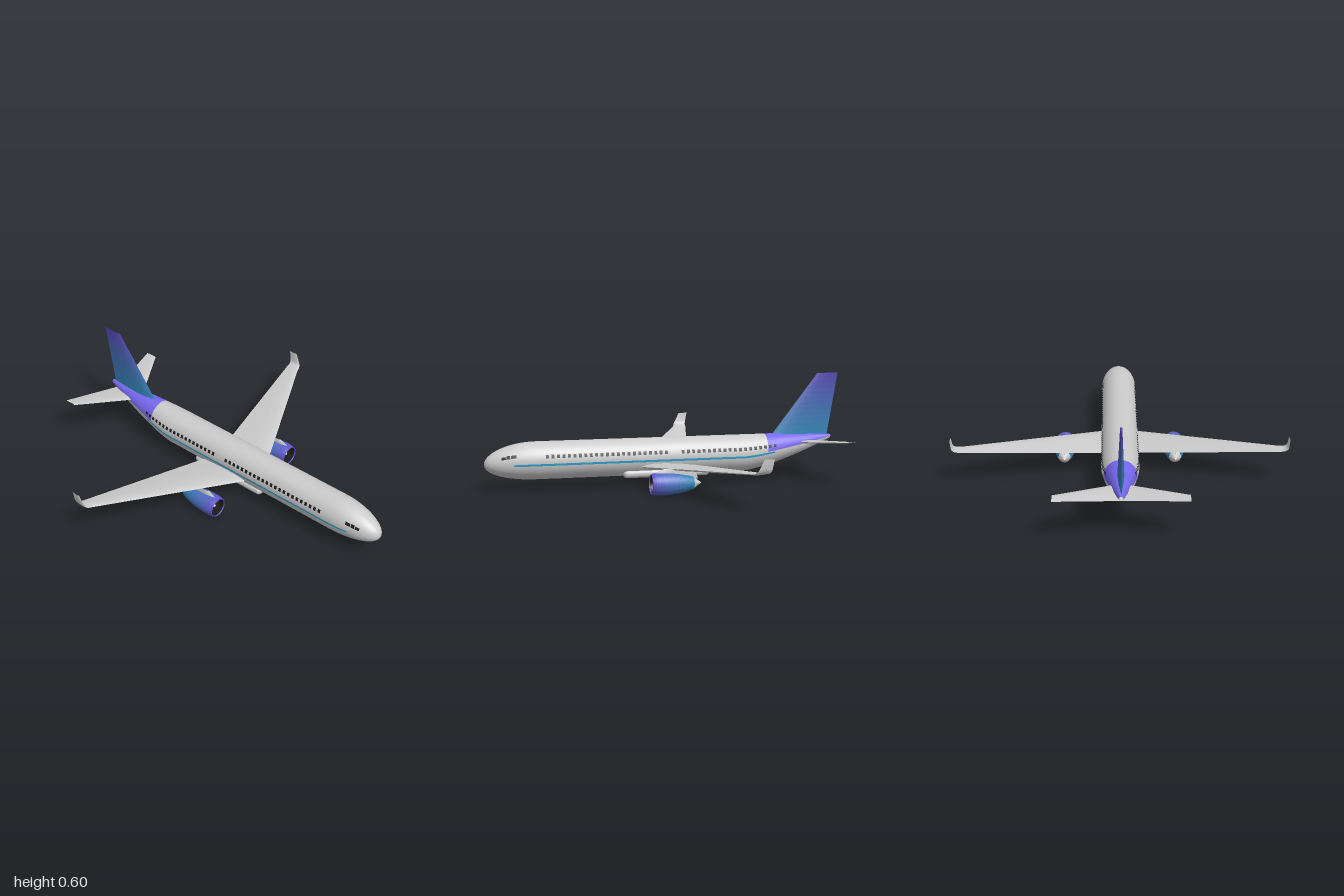
import * as THREE from 'three';
import { toCreasedNormals } from 'three/addons/utils/BufferGeometryUtils.js';
import { RoundedBoxGeometry } from 'three/addons/geometries/RoundedBoxGeometry.js';

const GREY = 0xcccccc, DARK = 0x1c1a18, PURPLE = 0x7868f0, TEAL = 0x2f86b4;

function mesh(name, geometry, color = GREY) {
  const m = new THREE.Mesh(geometry, new THREE.MeshStandardMaterial({ color }));
  m.name = name;
  return m;
}

function mix(a, b, t) {
  return new THREE.Color(a).lerp(new THREE.Color(b), t);
}

// Skin a list of rings (arrays of [x, y, z]); closed rings may be capped at both ends.
function loft(rings, { closed = true, caps = true, crease = 0.7 } = {}) {
  const n = rings[0].length, pos = rings.flat(2), index = [];
  const across = closed ? n : n - 1;
  for (let i = 0; i < rings.length - 1; i++) {
    for (let j = 0; j < across; j++) {
      const a = i * n + j, c = i * n + (j + 1) % n;
      index.push(a, a + n, c, c, a + n, c + n);
    }
  }
  if (closed && caps) {
    const last = (rings.length - 1) * n;
    for (let j = 1; j < n - 1; j++) {
      index.push(0, j, j + 1, last, last + j + 1, last + j);
      // the first ring faces backwards, the last ring forwards
      const k = index.length - 6;
      [index[k + 1], index[k + 2]] = [j, j + 1];
      [index[k + 4], index[k + 5]] = [last + j, last + j + 1];
      const flip = k;
      [index[flip + 1], index[flip + 2]] = [j + 1, j];
    }
  }
  const g = new THREE.BufferGeometry();
  g.setAttribute('position', new THREE.Float32BufferAttribute(pos, 3));
  g.setIndex(index);
  return toCreasedNormals(g, crease);
}

// Ellipse arc across the x axis.
function ring(x, y, z, ry, rz, segments = 32) {
  return Array.from({ length: segments }, (_, j) => {
    const t = j / segments * Math.PI * 2;
    return [x, y + ry * Math.sin(t), z + rz * Math.cos(t)];
  });
}

// Wing section: leading x, trailing x, y, z, thickness, tilt about x.
const FOIL = [[0, 0], [0.3, 0.32], [0.6, 0.5], [0.8, 0.46], [0.93, 0.28], [1, 0],
  [0.93, -0.28], [0.8, -0.46], [0.6, -0.5], [0.3, -0.32]];
function foil([lead, trail, y, z, thick, tilt]) {
  return FOIL.map(([u, v]) => [trail + (lead - trail) * u,
    y + v * thick * Math.cos(tilt), z - v * thick * Math.sin(tilt)]);
}

// Fuselage cross-section at x: centre height, half height, half width.
function body(x) {
  if (x > 0.72) {
    const s = Math.min(1, (x - 0.72) / 0.28), k = Math.sqrt(Math.max(0, 1 - s * s)) + 0.0005;
    return [0.1625 - 0.0135 * s * s, 0.1025 * k, 0.1 * k];
  }
  const s = Math.max(0, (-0.42 - x) / 0.53), p = s ** 1.4;
  const top = 0.265 - 0.015 * s ** 3, bottom = 0.06 + 0.17 * p;
  return [(top + bottom) / 2, (top - bottom) / 2, 0.1 * (1 - 0.9 * p)];
}

// Painted or glazed patch lying just above the fuselage skin.
function patch(x0, x1, t0, t1, side, nx, nt, lift = 0.001) {
  if (side < 0) [t0, t1] = [Math.PI - t1, Math.PI - t0];
  const rings = [];
  for (let i = 0; i <= nx; i++) {
    const x = x0 + (x1 - x0) * i / nx, [y, ry, rz] = body(x), row = [];
    for (let j = 0; j <= nt; j++) {
      const t = t0 + (t1 - t0) * j / nt;
      row.push([x, y + (ry + lift) * Math.sin(t), (rz + lift) * Math.cos(t)]);
    }
    rings.push(row);
  }
  return loft(rings, { closed: false, crease: 1 });
}

function createFuselage() {
  const g = new THREE.Group();
  g.name = 'fuselage';
  const xs = [];
  for (let i = 0; i <= 24; i++) xs.push(-0.95 + 0.53 * i / 24);
  for (let i = 0; i <= 20; i++) xs.push(0.72 + 0.28 * Math.sin(i / 20 * Math.PI / 2));
  g.add(mesh('fuselageShell', loft(xs.map(x => {
    const [y, ry, rz] = body(x);
    return ring(x, y, 0, ry, rz, 48);
  }))));
  g.add(mesh('tailPaint', patch(-0.951, -0.56, 0, Math.PI, 1, 24, 32), PURPLE));

  for (const side of [1, -1]) {
    g.add(mesh('sideStripe', patch(-0.6, 0.85, -0.16, -0.05, side, 60, 2, 0.0015), 0x2f9fcc));
    // Two runs of cabin windows with a gap over the wing
    for (const [start, count] of [[-0.61, 19], [0.015, 23]]) {
      for (let i = 0; i < count; i++) {
        const x = start + i * 0.0295;
        g.add(mesh('cabinWindow', patch(x, x + 0.016, 0.23, 0.42, side, 1, 3, 0.002), DARK));
      }
    }
    for (const [a, b, t0, t1] of [[0.835, 0.862, 0.33, 0.52], [0.867, 0.886, 0.32, 0.54], [0.89, 0.912, 0.31, 0.5]]) {
      g.add(mesh('cockpitWindow', patch(a, b, t0, t1, side, 3, 3, 0.002), DARK));
    }
  }
  const fairing = mesh('bellyFairing', new RoundedBoxGeometry(0.48, 0.044, 0.17, 5, 0.021));
  fairing.position.set(0.015, 0.078, 0);
  g.add(fairing);
  return g;
}

function createEngine() {
  const g = new THREE.Group();
  g.name = 'engine';
  const y = 0.062, z = 0.305;
  const r = (x, radius) => ring(x, y, z, radius, radius);
  const profile = new THREE.SplineCurve([[-0.075, 0.034], [-0.03, 0.046], [0.03, 0.056],
    [0.09, 0.06], [0.13, 0.059], [0.152, 0.054]].map(p => new THREE.Vector2(...p)));
  // Nacelle shaded from teal at the back to purple at the lip
  const bands = 12;
  for (let i = 0; i < bands; i++) {
    const a = profile.getPoint(i / bands), b = profile.getPoint((i + 1) / bands);
    g.add(mesh('nacelleBand', loft([r(a.x, a.y), r(b.x, b.y)], { caps: false }),
      mix(TEAL, 0x6250cc, i / (bands - 1))));
  }
  g.add(mesh('intakeLip', loft([r(0.152, 0.054), r(0.154, 0.051), r(0.148, 0.049)], { caps: false }), 0x6250cc));
  g.add(mesh('intakeDuct', loft([r(0.148, 0.049), r(0.105, 0.049)], { caps: false }), DARK));
  g.add(mesh('fanDisc', loft([r(0.1, 0.05), r(0.108, 0.05)]), 0x15151a));
  for (let i = 0; i < 18; i++) {
    const blade = mesh('fanBlade', new THREE.BoxGeometry(0.008, 0.036, 0.003), 0x2a2a34);
    blade.geometry.translate(0, 0.03, 0).rotateY(0.5);
    blade.rotation.x = i / 18 * Math.PI * 2;
    blade.position.set(0.111, y, z);
    g.add(blade);
  }
  g.add(mesh('spinner', loft([r(0.106, 0.013), r(0.12, 0.011), r(0.13, 0.006), r(0.134, 0.0005)])));
  g.add(mesh('exhaustCone', loft([r(-0.118, 0.002), r(-0.1, 0.014), r(-0.073, 0.033)])));
  const q = Math.PI / 2;
  g.add(mesh('pylon', loft([foil([0.135, -0.1, 0.085, z, 0.024, q]),
    foil([0.13, -0.09, 0.122, z, 0.024, q]), foil([0.085, -0.07, 0.142, z, 0.018, q])])));
  return g;
}

// Wing, tailplane and engine of one side
function createSide(name) {
  const g = new THREE.Group();
  g.name = name;
  g.add(mesh('wing', loft([
    [0.205, -0.125, 0.11, 0, 0.036, 0.1], [-0.235, -0.315, 0.197, 0.85, 0.012, 0.12],
    [-0.243, -0.318, 0.202, 0.875, 0.009, 0.5], [-0.25, -0.321, 0.212, 0.889, 0.008, 1.1],
    [-0.26, -0.325, 0.228, 0.894, 0.007, 1.45], [-0.283, -0.334, 0.276, 0.897, 0.005, 1.5],
  ].map(foil))));
  g.add(mesh('tailplane', loft([
    [-0.725, -0.918, 0.212, 0, 0.02, 0.1], [-0.93, -1, 0.25, 0.335, 0.006, 0.1],
  ].map(foil))));
  g.add(createEngine());
  return g;
}

// Vertical fin in bands from teal at the root to violet at the tip
function createFin() {
  const g = new THREE.Group();
  g.name = 'tailFin';
  const at = t => foil([-0.595 - 0.275 * t, -0.93 - 0.06 * t, 0.245 + 0.355 * t, 0,
    0.036 - 0.026 * t, Math.PI / 2]);
  const bands = 12;
  for (let i = 0; i < bands; i++) {
    g.add(mesh('finBand', loft([at(i / bands), at((i + 1) / bands)], { caps: i === bands - 1 }),
      mix(TEAL, 0x5546b4, i / (bands - 1))));
  }
  return g;
}

export function createModel() {
  const model = new THREE.Group();
  model.name = 'airliner';
  const left = createSide('leftSide'), right = createSide('rightSide');
  right.scale.z = -1;
  model.add(createFuselage(), createFin(), left, right);
  return model;
}
